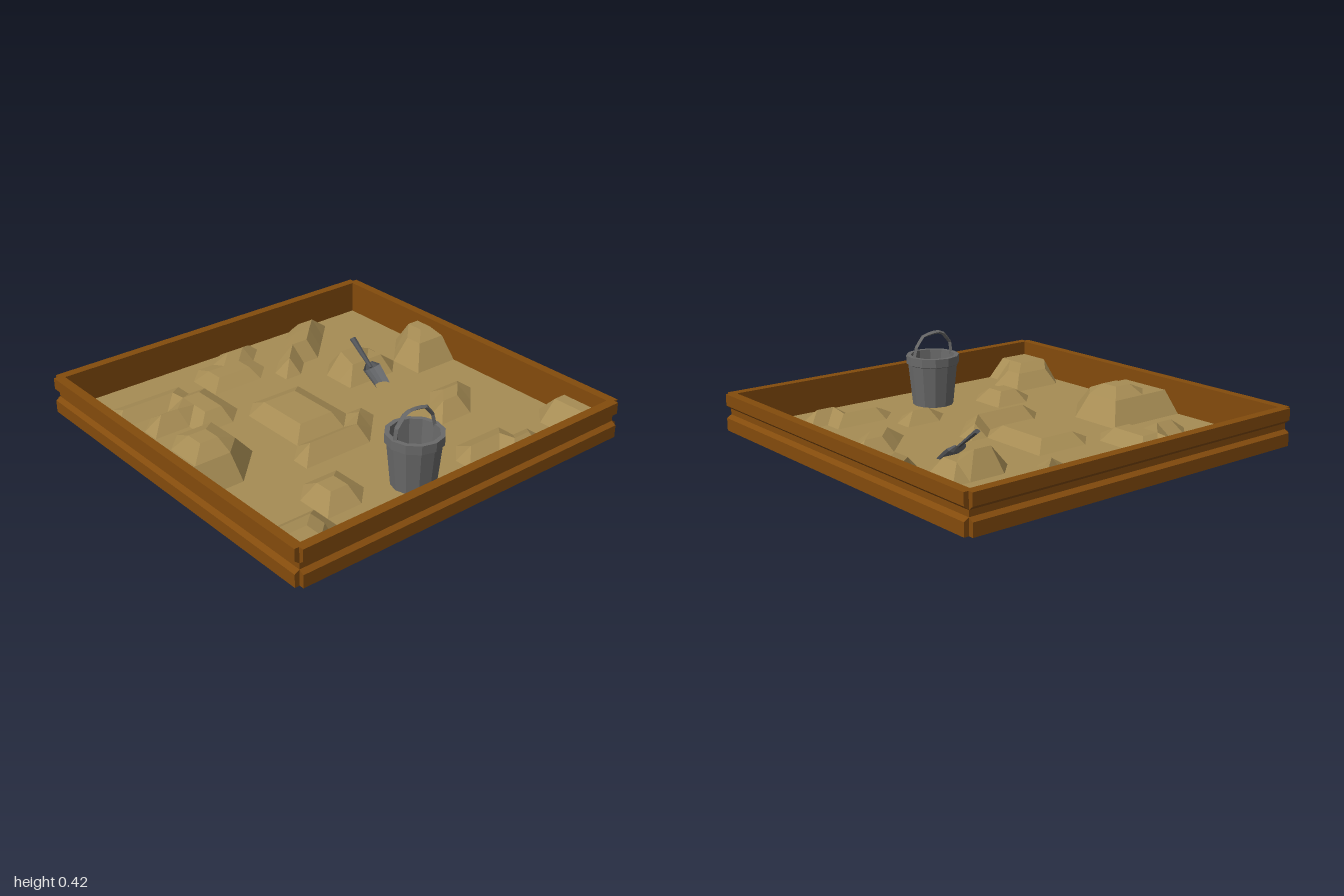
import * as THREE from 'three';

const mat = (name, color, side = THREE.FrontSide) => {
  const m = new THREE.MeshStandardMaterial({ color, side, flatShading: true });
  m.name = name;
  return m;
};

// Raised grid blocks of the sand: [column from, to, row from, to, height]
const MOUNDS = [
  [-10, -7, -2, 1, 0.11], [-6, -6, -2, 0, 0.11], [-8, -7, -1, 0, 0.15], // left mound
  [-8, -5, -7, -7, 0.04], [-7, -6, -5, -5, 0.06], [-5, -4, -6, -4, 0.05], // back left
  [-2, 0, -8, -7, 0.03], [0, 1, -9, -9, 0.045], // back
  [2, 2, -6, -6, 0.06], [3, 4, -7, -7, 0.075], [4, 5, -8, -8, 0.08], [5, 6, -9, -9, 0.07],
  [4, 6, -4, -3, 0.07], [4, 5, -4, -4, 0.11], // mound under the shovel
  [8, 10, -3, -2, 0.11], [9, 10, -4, -3, 0.13], // right edge
  [-2, 0, -3, 0, 0.045], [-3, 0, 2, 2, 0.06], [1, 1, 1, 1, 0.05], // middle
  [5, 6, 3, 3, 0.06], [6, 7, 2, 2, 0.055], [1, 2, 5, 5, 0.05],
  [3, 5, 7, 7, 0.045], [5, 6, 8, 8, 0.06], // front right
  [9, 10, 7, 10, 0.1],
  [-5, -4, 5, 6, 0.055], // front left
  [-9, -7, 7, 8, 0.07], [-10, -8, 8, 10, 0.1],
];

function makeSand(material) {
  const step = 0.098;
  const geo = new THREE.PlaneGeometry(20 * step, 20 * step, 20, 20).rotateX(-Math.PI / 2);
  const p = geo.attributes.position;
  for (let k = 0; k < p.count; k++) {
    const i = Math.round(p.getX(k) / step), j = Math.round(p.getZ(k) / step);
    let h = 0;
    for (const [a, b, c, d, top] of MOUNDS) {
      if (i >= a && i <= b && j >= c && j <= d) h = Math.max(h, top);
    }
    // the border stays inside the walls
    p.setXYZ(k, THREE.MathUtils.clamp(i * step, -0.96, 0.96), 0.025 + h,
      THREE.MathUtils.clamp(j * step, -0.96, 0.96));
  }
  geo.computeVertexNormals();
  const sand = new THREE.Mesh(geo, material);
  sand.name = 'sand';
  return sand;
}

// Four grooved planks around the sand
function makeFrame(material) {
  const frame = new THREE.Group();
  frame.name = 'frame';
  const profile = new THREE.Shape([
    [0.95, 0.01], [1, 0.01], [1, 0.075], [0.975, 0.09], [0.975, 0.12], [1, 0.14], [1, 0.2], [0.95, 0.2],
  ].map(([x, y]) => new THREE.Vector2(x, y)));
  const length = 1.95;
  const geo = new THREE.ExtrudeGeometry(profile, { depth: length, bevelEnabled: false });
  geo.translate(0, 0, -length / 2);
  ['rightPlank', 'backPlank', 'leftPlank', 'frontPlank'].forEach((name, k) => {
    const plank = new THREE.Mesh(geo, material);
    plank.name = name;
    plank.rotation.y = k * Math.PI / 2;
    frame.add(plank);
  });
  return frame;
}

function makeBucket(material) {
  const bucket = new THREE.Group();
  bucket.name = 'bucket';
  const profile = [
    [0, 0], [0.107, 0], [0.132, 0.245], [0.142, 0.25], [0.142, 0.295],
    [0.118, 0.295], [0.1, 0.03], [0, 0.03],
  ].map(([x, y]) => new THREE.Vector2(x, y));
  const body = new THREE.Mesh(new THREE.LatheGeometry(profile, 12), material);
  body.name = 'bucketBody';

  // faceted carrying handle
  const path = new THREE.CurvePath();
  const pts = [[-0.125, 0.28], [-0.115, 0.35], [-0.06, 0.412], [0, 0.412], [0.06, 0.402], [0.105, 0.35], [0.125, 0.28]]
    .map(([x, y]) => new THREE.Vector3(x, y, 0));
  for (let k = 1; k < pts.length; k++) path.add(new THREE.LineCurve3(pts[k - 1], pts[k]));
  const handle = new THREE.Mesh(new THREE.TubeGeometry(path, 12, 0.01, 4), material);
  handle.name = 'bucketHandle';
  handle.scale.z = 1.3;

  bucket.add(body, handle);
  bucket.position.set(-0.09, 0, 0.7);
  return bucket;
}

function makeShovel(bladeMaterial, handleMaterial) {
  const shovel = new THREE.Group();
  shovel.name = 'shovel';
  // hollow scoop
  const scoop = new THREE.CylinderGeometry(0.057, 0.045, 0.13, 6, 1, true, Math.PI / 2, Math.PI);
  scoop.scale(1, 1, 0.5).translate(0, 0.065, 0);
  const blade = new THREE.Mesh(scoop, bladeMaterial);
  blade.name = 'shovelBlade';
  // shoulder closing the scoop
  const cap = new THREE.CylinderGeometry(0.022, 0.057, 0.03, 6, 1, true, Math.PI / 2, Math.PI);
  cap.scale(1, 1, 0.5).translate(0, 0.145, 0);
  const shoulder = new THREE.Mesh(cap, bladeMaterial);
  shoulder.name = 'shovelShoulder';
  const grip = new THREE.CylinderGeometry(0.019, 0.012, 0.19, 6);
  grip.scale(1, 1, 0.6).translate(0, 0.225, -0.008);
  const handle = new THREE.Mesh(grip, handleMaterial);
  handle.name = 'shovelHandle';
  shovel.add(blade, shoulder, handle);
  shovel.position.set(0.45, 0.019, -0.105);
  shovel.rotation.x = -0.92;
  return shovel;
}

export function createModel() {
  const wood = mat('wood', 0x834b0c);
  const sand = mat('sand', 0xa68c54, THREE.DoubleSide);
  const metal = mat('bucketMetal', 0x6a6a6a, THREE.DoubleSide);
  const blade = mat('shovelBlade', 0x66686b, THREE.DoubleSide);
  const grip = mat('shovelGrip', 0x55575b);

  const model = new THREE.Group();
  model.name = 'sandbox';
  model.add(makeFrame(wood), makeSand(sand), makeBucket(metal), makeShovel(blade, grip));
  return model;
}
